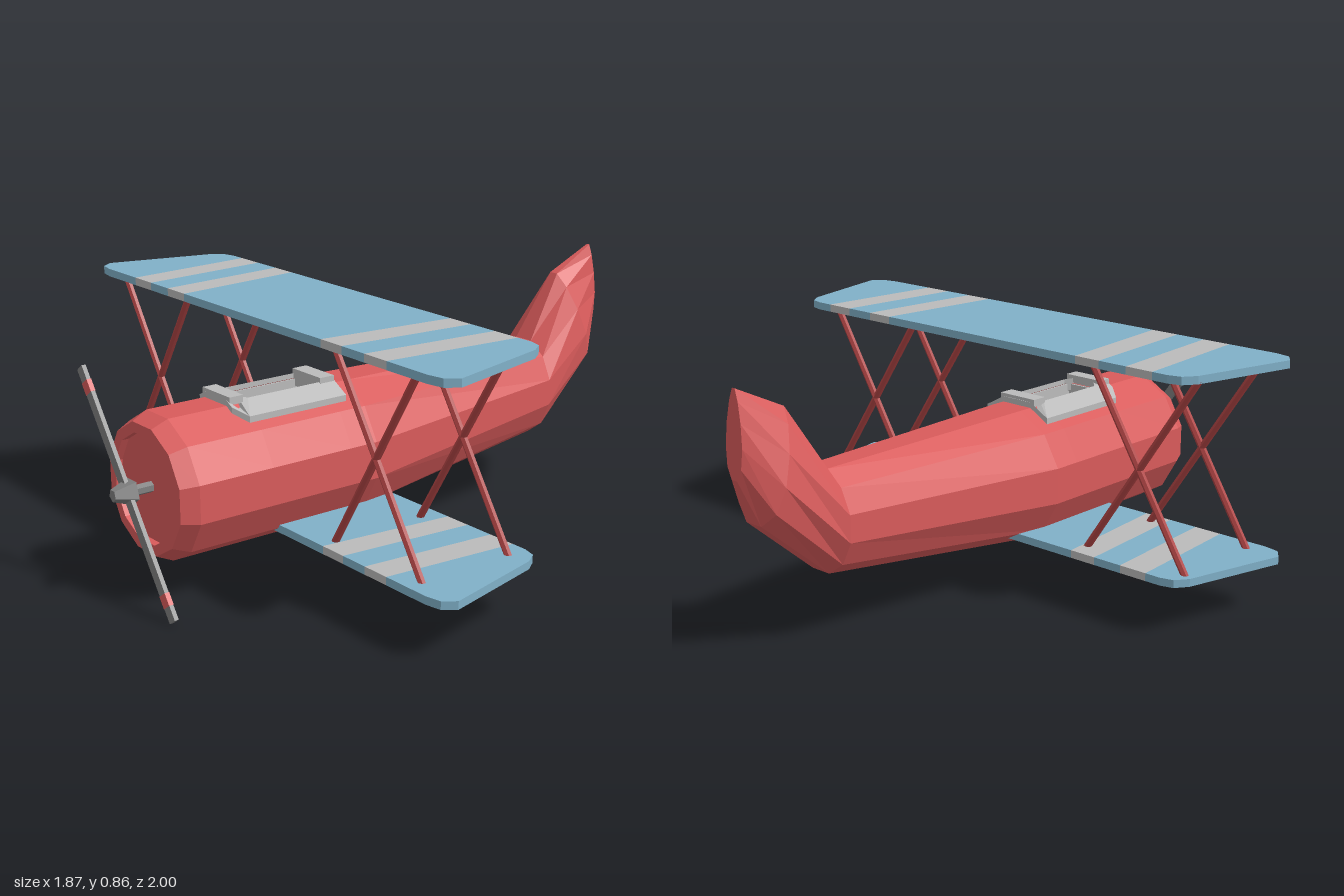
import * as THREE from 'three';

const paint = (color) => new THREE.MeshStandardMaterial({ color, flatShading: true, side: THREE.DoubleSide });
const CX = -0.03; // fuselage axis
const CY = 0.355;
const SIDES = 12;

function add(parent, name, geometry, material) {
  const mesh = new THREE.Mesh(geometry, material);
  mesh.name = name;
  parent.add(mesh);
  return mesh;
}

// One fuselage ring between a top and a bottom point [z, y]; pinch narrows its top
function ring(top, bottom, halfWidth, pinch = 0) {
  return Array.from({ length: SIDES }, (_, i) => {
    const a = ((i + 0.5) / SIDES) * Math.PI * 2;
    const t = (1 + Math.cos(a) / Math.cos(Math.PI / SIDES)) / 2;
    return [
      CX + (halfWidth / 0.966) * Math.sin(a) * (1 - pinch * t),
      THREE.MathUtils.lerp(bottom[1], top[1], t),
      THREE.MathUtils.lerp(bottom[0], top[0], t),
    ];
  });
}
const round = (z, r) => ring([z, CY + r], [z, CY - r], r);

// Skin the rings, leaving out the top facet where the cockpit opens
function fuselageGeometry() {
  const rings = [
    round(0.865, 0), round(0.865, 0.17), round(0.89, 0.17), round(0.89, 0.203),
    round(0.835, 0.228), round(0.57, 0.228), round(0.27, 0.228), round(0.17, 0.228),
    ring([-0.68, 0.57], [-0.68, 0.235], 0.138),
    ring([-0.82, 0.79], [-0.935, 0.45], 0.125, 0.5),
    ring([-0.99, 0.873], [-1, 0.6], 0.045, 0.5),
    ring([-0.995, 0.74], [-0.995, 0.74], 0),
  ];
  const openRing = 5;
  const pos = [];
  for (let r = 0; r < rings.length - 1; r++) {
    for (let i = 0; i < SIDES; i++) {
      if (r === openRing && i === SIDES - 1) continue;
      const j = (i + 1) % SIDES;
      const [a, b, c, d] = [rings[r][i], rings[r][j], rings[r + 1][i], rings[r + 1][j]];
      pos.push(...a, ...b, ...d, ...a, ...d, ...c);
    }
  }
  const g = new THREE.BufferGeometry();
  g.setAttribute('position', new THREE.Float32BufferAttribute(pos, 3));
  g.computeVertexNormals();
  return g;
}

// Extrude an outline given in x, z downwards from y = 0
function slab(points, thickness, hole) {
  const toVec = ([x, z]) => new THREE.Vector2(x, z);
  const shape = new THREE.Shape(points.map(toVec));
  if (hole) shape.holes.push(new THREE.Path(hole.map(toVec)));
  return new THREE.ExtrudeGeometry(shape, { depth: thickness, bevelEnabled: false }).rotateX(Math.PI / 2);
}

// Close a half outline by mirroring it in x
const mirrored = (half) => [...half, ...half.map(([x, z]) => [-x, z]).reverse()];

// Wing with two slanted stripes on each side
function wing(name, topY, blue, grey) {
  const group = new THREE.Group();
  group.name = name;
  const front = 0.515, back = 0.055, thick = 0.026;
  const cuts = [[0.37, 0.415], [0.47, 0.51], [0.575, 0.615], [0.675, 0.715]];
  add(group, 'wingCentre', slab(mirrored([[cuts[0][0], front], [cuts[0][1], back]]), thick), blue);
  for (const s of [1, -1]) {
    const flip = (pts) => pts.map(([x, z]) => [x * s, z]);
    for (let i = 0; i < 3; i++) {
      const [f0, b0] = cuts[i], [f1, b1] = cuts[i + 1];
      const stripe = i !== 1;
      add(group, stripe ? 'wingStripe' : 'wingPanel',
        slab(flip([[f0, front], [f1, front], [b1, back], [b0, back]]), thick), stripe ? grey : blue);
    }
    add(group, 'wingTip', slab(flip([
      [0.675, front], [0.85, front], [0.905, 0.505], [0.935, 0.465],
      [0.845, 0.11], [0.815, 0.067], [0.77, back], [0.715, back],
    ]), thick), blue);
  }
  group.position.y = topY;
  return group;
}

// Thin rod between two points
function strut(parent, from, to, material) {
  const a = new THREE.Vector3(...from), b = new THREE.Vector3(...to);
  const rod = add(parent, 'strut', new THREE.CylinderGeometry(0.012, 0.012, a.distanceTo(b), 6), material);
  rod.position.copy(a).lerp(b, 0.5);
  rod.quaternion.setFromUnitVectors(new THREE.Vector3(0, 1, 0), b.sub(a).normalize());
}

function cockpit(grey) {
  const group = new THREE.Group();
  group.name = 'cockpit';
  // Rim, folded down to follow the fuselage sides
  const rim = slab(
    mirrored([[0.06, 0.625], [0.09, 0.625], [0.135, 0.59], [0.135, 0.22], [0.06, 0.22]]), 0.042,
    mirrored([[0.045, 0.575], [0.068, 0.55], [0.068, 0.28], [0.045, 0.28]]));
  const p = rim.attributes.position;
  for (let i = 0; i < p.count; i++) {
    p.setY(i, p.getY(i) - Math.max(0, Math.abs(p.getX(i)) - 0.06) * 0.55);
  }
  rim.computeVertexNormals();
  add(group, 'cockpitRim', rim, grey).position.y = 0.602;
  // Raised lips at both ends
  for (const [z, depth] of [[0.598, 0.05], [0.25, 0.055]]) {
    add(group, 'cockpitLip', new THREE.BoxGeometry(0.15, 0.025, depth), grey).position.set(0, 0.6, z);
  }
  // Sunken tub
  add(group, 'cockpitFloor', new THREE.BoxGeometry(0.13, 0.01, 0.31), grey).position.set(0, 0.5, 0.42);
  for (const s of [1, -1]) {
    add(group, 'cockpitSide', new THREE.BoxGeometry(0.008, 0.08, 0.31), grey).position.set(s * 0.064, 0.54, 0.42);
    add(group, 'cockpitEnd', new THREE.BoxGeometry(0.13, 0.08, 0.008), grey).position.set(0, 0.54, 0.42 + s * 0.152);
  }
  group.position.x = CX;
  return group;
}

function propeller(dark, red) {
  const group = new THREE.Group();
  group.name = 'propeller';
  add(group, 'shaft', new THREE.CylinderGeometry(0.018, 0.018, 0.08, 6).rotateX(Math.PI / 2), dark).position.z = 0.9;
  add(group, 'hub', new THREE.CylinderGeometry(0.02, 0.045, 0.068, 5).rotateX(Math.PI / 2), dark).position.z = 0.966;
  const blades = new THREE.Group();
  blades.name = 'blades';
  add(blades, 'blade', new THREE.BoxGeometry(0.036, 0.835, 0.014), dark);
  for (const s of [1, -1]) {
    add(blades, 'bladeBand', new THREE.BoxGeometry(0.038, 0.04, 0.016), red).position.y = s * 0.35;
  }
  blades.rotation.z = 0.626;
  blades.position.z = 0.95;
  group.add(blades);
  group.position.set(CX, 0.358, 0);
  return group;
}

export function createModel() {
  const model = new THREE.Group();
  model.name = 'biplane';
  const red = paint(0xd95b5b), strutRed = paint(0xb04444), blue = paint(0x80b0c8);
  const grey = paint(0xbbbbbb), dark = paint(0x808080);

  add(model, 'fuselage', fuselageGeometry(), red);
  model.add(cockpit(grey), propeller(dark, red));
  model.add(wing('upperWing', 0.846, blue, grey), wing('lowerWing', 0.201, blue, grey));

  // Crossed struts between the wings
  const struts = new THREE.Group();
  struts.name = 'struts';
  for (const z of [0.46, 0.125]) {
    for (const [inner, outer] of [[0.355, 0.765], [-0.42, -0.83]]) {
      strut(struts, [inner, 0.19, z], [outer - 0.01, 0.83, z], strutRed);
      strut(struts, [outer + 0.01, 0.19, z], [inner, 0.83, z], strutRed);
    }
  }
  model.add(struts);
  return model;
}
